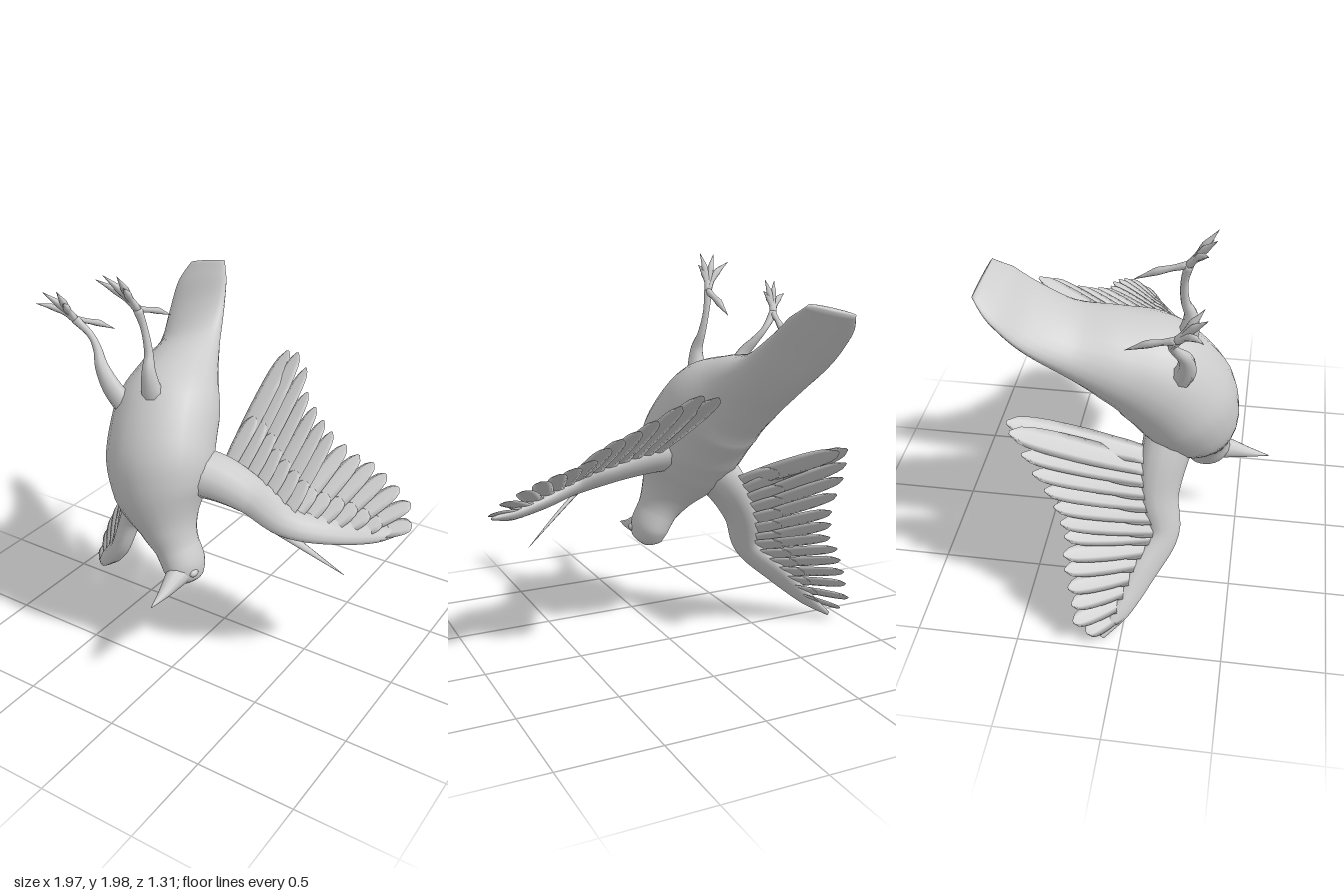
import * as THREE from 'three';

const grey = new THREE.MeshStandardMaterial({ color: 0xcccccc });
const V = (a) => new THREE.Vector3(a[0], a[1], a[2]);

// Smooth elliptical loft; each ring is [x, y, z, half width along ref, half depth]
function loft(name, rings, ref, segs = 16, sides = 8) {
  const path = new THREE.CatmullRomCurve3(rings.map(V));
  const size = new THREE.CatmullRomCurve3(rings.map((r) => new THREE.Vector3(r[3], r[4], 0)));
  const pos = [], idx = [];
  const add = (c, L, N, w, d) => {
    for (let j = 0; j < sides; j++) {
      const a = (j / sides) * Math.PI * 2;
      const p = c.clone().addScaledVector(L, w * Math.cos(a)).addScaledVector(N, d * Math.sin(a));
      pos.push(p.x, p.y, p.z);
    }
  };
  for (let i = 0; i <= segs; i++) {
    const t = i / segs, c = path.getPoint(t), T = path.getTangent(t), s = size.getPoint(t);
    const L = V(ref).addScaledVector(T, -V(ref).dot(T)).normalize();
    const N = new THREE.Vector3().crossVectors(T, L);
    if (i === 0) add(c, L, N, 0, 0);
    add(c, L, N, Math.max(s.x, 0.0005), Math.max(s.y, 0.0005));
    if (i === segs) add(c, L, N, 0, 0);
  }
  for (let i = 0; i < segs + 2; i++) {
    for (let j = 0; j < sides; j++) {
      const k = (j + 1) % sides;
      const a = i * sides + j, b = i * sides + k, c = b + sides, d = a + sides;
      idx.push(a, b, c, a, c, d);
    }
  }
  const g = new THREE.BufferGeometry();
  g.setAttribute('position', new THREE.Float32BufferAttribute(pos, 3));
  g.setIndex(idx);
  g.computeVertexNormals();
  const m = new THREE.Mesh(g, grey);
  m.name = name;
  return m;
}

// Flat blade with a rounded end
function feather(name, root, tip, span, half) {
  const at = (t, w, d) => [...root.clone().lerp(tip, t).toArray(), half * w, d];
  return loft(name, [at(0, 0.75, 0.006), at(0.25, 0.95, 0.006), at(0.5, 1.05, 0.005),
    at(0.75, 1, 0.004), at(0.92, 0.75, 0.003), at(1, 0.15, 0.001)], span, 12, 6);
}

// Arm and hand, two feather fans and a short covert row
function wing(name, { arm, chord, inner, outer, innerRoots, outerRoots, tilt }) {
  const g = new THREE.Group();
  g.name = name;
  g.add(loft('wingArm', arm, chord, 36, 12));
  const fan = (label, tips, [from, to], half) => tips.forEach((p, i) => {
    const root = V(from).lerp(V(to), i / (tips.length - 1)), tip = V(p);
    const span = V(to).sub(V(from)).normalize();
    // Each blade is rolled a little so that neighbours overlap
    const n = new THREE.Vector3().crossVectors(span, tip.clone().sub(root)).normalize();
    span.addScaledVector(n, tilt).normalize();
    const s = span.toArray();
    g.add(feather(label, root, tip, s, half * (label === 'innerFeather' && i < 2 ? 1.25 : 1)));
    const mid = root.clone().lerp(tip, 0.42).addScaledVector(n, 0.006);
    g.add(feather('covertFeather', root, mid, s, half * 1.1));
  });
  fan('innerFeather', inner, innerRoots, 0.046);
  fan('outerFeather', outer, outerRoots, 0.048);
  return g;
}

// Leg with three front toes, a hind toe and claws
function leg(name, path, toes, hind) {
  const g = new THREE.Group();
  g.name = name;
  const ref = [1, 0.2, 0.1], hub = path[path.length - 1];
  g.add(loft('shank', path, ref, 24, 8));
  // The front toes run together before their tips splay
  const middle = toes.reduce((sum, p) => sum.add(V(p)), V([0, 0, 0])).divideScalar(toes.length);
  for (const p of [...toes, hind]) {
    const aim = p === hind ? V(p) : middle;
    const at = (t, r, lift) => {
      const q = V(hub).lerp(aim.clone().lerp(V(p), 0.4 + 0.6 * t), t);
      return [q.x, q.y + lift, q.z, r, r];
    };
    g.add(loft(p === hind ? 'hindToe' : 'frontToe', [at(0, 0.02, 0), at(0.3, 0.014, 0.006),
      at(0.55, 0.018, 0.01), at(0.75, 0.011, 0.006), at(1, 0.001, 0)], ref, 12, 6));
  }
  return g;
}

export function createModel() {
  const bird = new THREE.Group();
  bird.name = 'bird';
  const across = [0.93, 0.36, 0];

  // Body from tail tip to crown
  bird.add(loft('body', [
    [-0.52, 1.775, -0.64, 0.125, 0.015], [-0.51, 1.69, -0.565, 0.175, 0.03],
    [-0.48, 1.58, -0.47, 0.19, 0.045], [-0.42, 1.44, -0.31, 0.195, 0.095],
    [-0.36, 1.325, -0.1, 0.24, 0.185], [-0.3, 1.21, 0.07, 0.28, 0.255],
    [-0.25, 1.04, 0.205, 0.285, 0.26], [-0.2, 0.87, 0.275, 0.245, 0.225],
    [-0.13, 0.72, 0.31, 0.145, 0.155], [-0.075, 0.62, 0.32, 0.105, 0.125],
    [-0.035, 0.54, 0.325, 0.1, 0.125], [-0.02, 0.475, 0.33, 0.082, 0.1],
    [-0.015, 0.44, 0.335, 0.03, 0.04]], across, 60, 24));

  // Beak and eyes
  bird.add(loft('beak', [[-0.02, 0.525, 0.36, 0.07, 0.065], [-0.012, 0.51, 0.45, 0.05, 0.052],
    [-0.005, 0.49, 0.54, 0.03, 0.028], [0, 0.472, 0.655, 0.002, 0.002]], [1, 0, 0], 14, 10));
  for (const [x, y] of [[0.052, 0.53], [-0.098, 0.52]]) {
    const eye = new THREE.Mesh(new THREE.SphereGeometry(0.02, 12, 8), grey);
    eye.position.set(x, y, 0.365);
    eye.scale.z = 1.5;
    eye.name = 'eye';
    bird.add(eye);
  }

  // Left wing, spread sideways
  bird.add(wing('leftWing', {
    arm: [[-0.12, 1.0, 0.2, 0.13, 0.13], [0.06, 0.975, 0.15, 0.125, 0.095],
      [0.26, 0.92, 0.14, 0.1, 0.06], [0.46, 0.86, 0.17, 0.08, 0.05],
      [0.65, 0.825, 0.07, 0.075, 0.036], [0.84, 0.815, -0.04, 0.05, 0.026],
      [0.965, 0.835, -0.13, 0.012, 0.008]],
    chord: [0, 0.45, -0.85], tilt: 0.35,
    inner: [[0.03, 1.4, -0.57], [0.1, 1.41, -0.55], [0.18, 1.36, -0.5], [0.25, 1.28, -0.39],
      [0.32, 1.23, -0.35], [0.39, 1.19, -0.31], [0.45, 1.15, -0.29]],
    innerRoots: [[0.07, 1.0, 0.08], [0.45, 0.88, 0.17]],
    outer: [[0.53, 1.1, -0.29], [0.61, 1.07, -0.28], [0.69, 1.05, -0.28], [0.77, 1.02, -0.26],
      [0.85, 0.98, -0.24], [0.93, 0.93, -0.21], [0.975, 0.86, -0.14]],
    outerRoots: [[0.47, 0.87, 0.17], [0.82, 0.82, -0.03]],
  }));
  // Spike at the left wrist
  bird.add(loft('wristSpike', [[0.41, 0.83, 0.2, 0.025, 0.012], [0.55, 0.735, 0.145, 0.018, 0.01],
    [0.735, 0.6, 0.07, 0.001, 0.001]], [0, 0.6, -0.8], 10, 6));

  // Right wing, swung downwards
  bird.add(wing('rightWing', {
    arm: [[-0.27, 0.93, 0.19, 0.14, 0.14], [-0.41, 0.76, 0.15, 0.125, 0.095],
      [-0.5, 0.58, 0.14, 0.1, 0.06], [-0.56, 0.39, 0.17, 0.08, 0.05],
      [-0.7, 0.24, 0.08, 0.075, 0.036], [-0.84, 0.1, -0.01, 0.05, 0.026],
      [-0.94, 0.015, -0.09, 0.012, 0.008]],
    chord: [-0.45, 0.3, -0.8], tilt: -0.35,
    inner: [[-0.64, 1.08, -0.56], [-0.71, 1.08, -0.53], [-0.75, 0.99, -0.47], [-0.77, 0.9, -0.42],
      [-0.77, 0.8, -0.37], [-0.77, 0.7, -0.33], [-0.79, 0.62, -0.3]],
    innerRoots: [[-0.45, 0.79, 0.08], [-0.56, 0.42, 0.16]],
    outer: [[-0.8, 0.54, -0.28], [-0.85, 0.47, -0.28], [-0.88, 0.4, -0.27], [-0.92, 0.32, -0.25],
      [-0.95, 0.24, -0.23], [-0.98, 0.15, -0.22], [-0.97, 0.07, -0.16]],
    outerRoots: [[-0.57, 0.39, 0.16], [-0.83, 0.11, -0.01]],
  }));

  // Legs, raised above the belly
  bird.add(leg('leftLeg', [[-0.25, 1.26, 0.19, 0.06, 0.06], [-0.27, 1.4, 0.235, 0.052, 0.05],
    [-0.275, 1.5, 0.245, 0.034, 0.034], [-0.29, 1.58, 0.22, 0.022, 0.022],
    [-0.315, 1.7, 0.215, 0.017, 0.018], [-0.335, 1.8, 0.235, 0.024, 0.022]],
  [[-0.5, 1.94, 0.33], [-0.43, 1.98, 0.36], [-0.35, 1.99, 0.36], [-0.33, 1.93, 0.34]],
  [-0.32, 1.7, -0.01]));
  bird.add(leg('rightLeg', [[-0.42, 1.22, 0.2, 0.06, 0.06], [-0.5, 1.36, 0.25, 0.05, 0.048],
    [-0.56, 1.46, 0.25, 0.034, 0.034], [-0.61, 1.53, 0.215, 0.022, 0.022],
    [-0.66, 1.59, 0.2, 0.017, 0.018], [-0.73, 1.67, 0.23, 0.024, 0.022]],
  [[-0.87, 1.76, 0.35], [-0.81, 1.83, 0.36], [-0.74, 1.84, 0.34], [-0.72, 1.78, 0.32]],
  [-0.67, 1.56, 0]));

  return bird;
}
